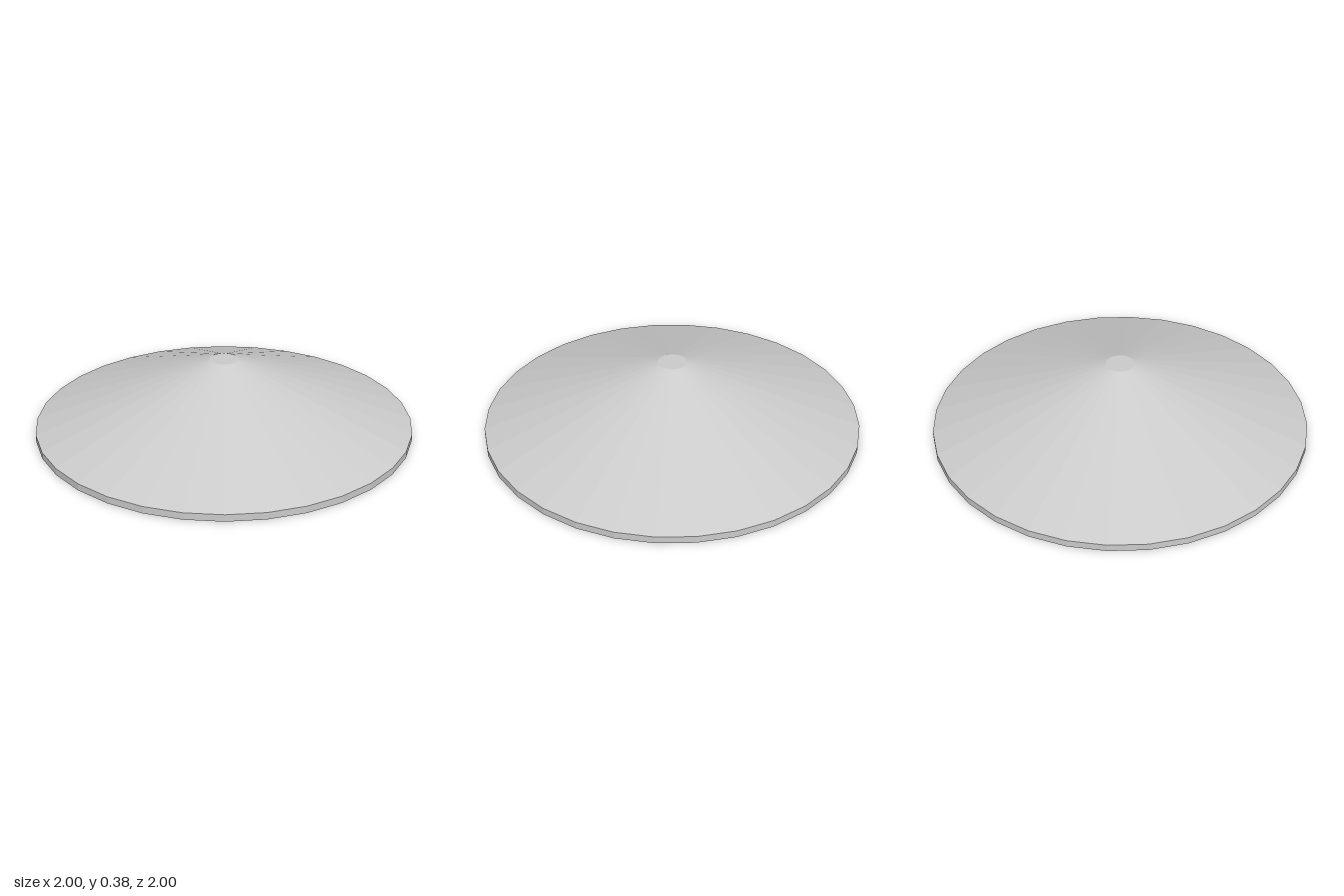
import * as THREE from 'three';

const SIDES = 32;
const RADIUS = 1;
const RIM_HEIGHT = 0.037;
const TOP_HEIGHT = 0.385;
const CAP_RADIUS = 0.075;

export function createModel() {
  const group = new THREE.Group();
  group.name = 'shallowCone';
  const material = new THREE.MeshStandardMaterial({ color: 0xcccccc, flatShading: true });

  const add = (name, geometry, y) => {
    const mesh = new THREE.Mesh(geometry, material);
    mesh.name = name;
    mesh.position.y = y;
    group.add(mesh);
  };

  // Thin upright rim
  add('rim', new THREE.CylinderGeometry(RADIUS, RADIUS, RIM_HEIGHT, SIDES, 1, true), RIM_HEIGHT / 2);

  // Sloping faceted surface
  const slope = TOP_HEIGHT - RIM_HEIGHT;
  add('slope', new THREE.CylinderGeometry(CAP_RADIUS, RADIUS, slope, SIDES, 1, true), RIM_HEIGHT + slope / 2);

  // Flat discs closing top and bottom, with corners aligned to the rim
  add('topCap', new THREE.CircleGeometry(CAP_RADIUS, SIDES).rotateX(-Math.PI / 2), TOP_HEIGHT);
  add('base', new THREE.CircleGeometry(RADIUS, SIDES).rotateX(Math.PI / 2), 0);

  return group;
}
